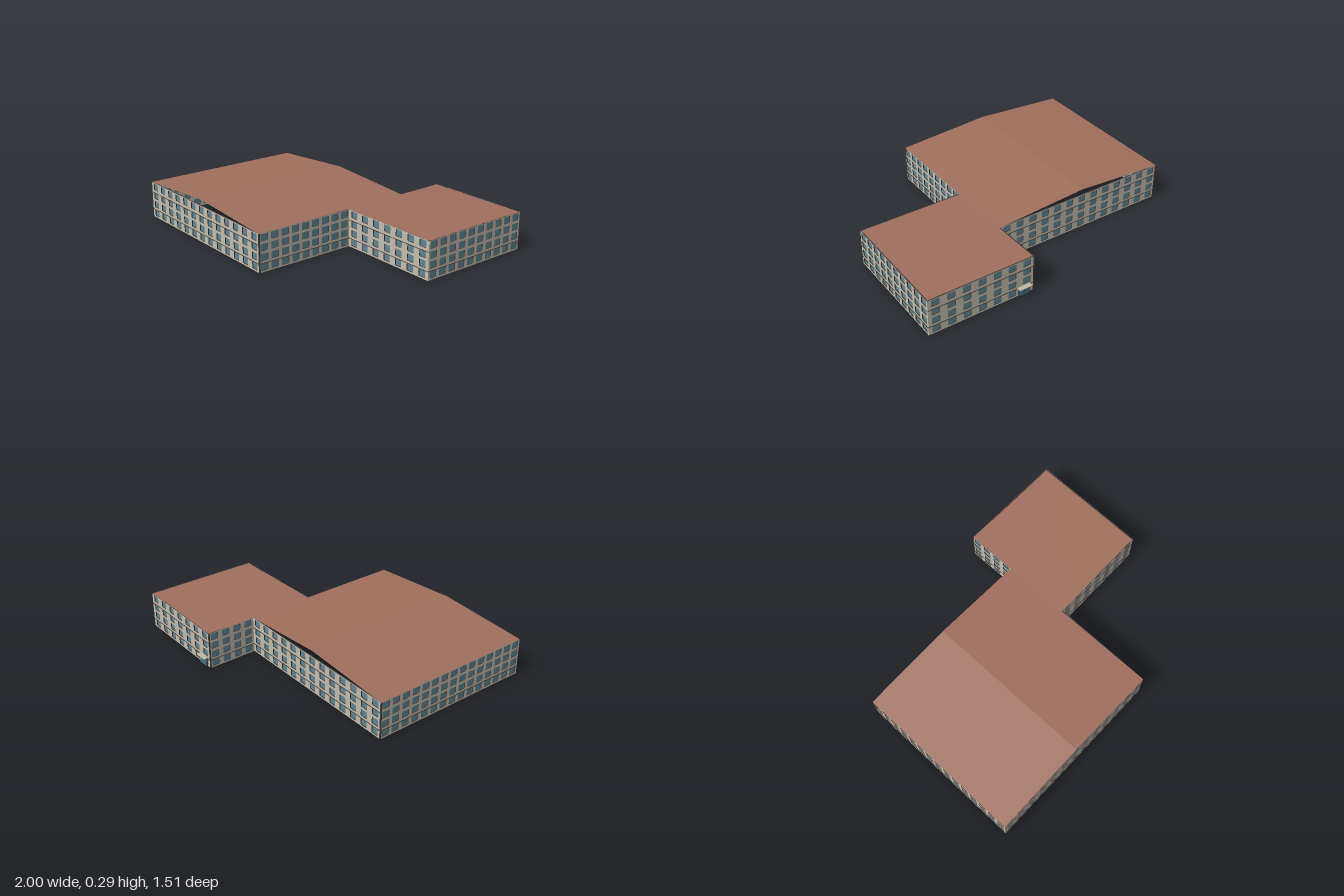
import * as THREE from 'three';

const mat = (name, color, side = THREE.FrontSide) => {
  const m = new THREE.MeshStandardMaterial({ color, side });
  m.name = name;
  return m;
};

const HEIGHT = 0.248, RIDGE = 0.29, DEPTH = 0.008;

// Footprint corners [x, z], anticlockwise seen from above
const corners = [
  [-0.998, 0.735], [0.275, 0.752], [0.282, 0.064], [0.985, 0.068],
  [0.993, -0.72], [0.27, -0.732], [0.272, -0.39], [-0.985, -0.408],
];
const columns = [13, 9, 7, 10, 7, 4, 13, 15];

// Rounded window outline, used both for the hole and the pane
function windowOutline(target, cx, cy, w, h, r = 0.007) {
  const x = cx - w / 2, y = cy - h / 2;
  target.moveTo(x + r, y);
  target.lineTo(x + w - r, y);
  target.quadraticCurveTo(x + w, y, x + w, y + r);
  target.lineTo(x + w, y + h - r);
  target.quadraticCurveTo(x + w, y + h, x + w - r, y + h);
  target.lineTo(x + r, y + h);
  target.quadraticCurveTo(x, y + h, x, y + h - r);
  target.lineTo(x, y + r);
  target.quadraticCurveTo(x, y, x + r, y);
  return target;
}

export function createModel() {
  const wallMat = mat('wall stone', 0xc3bbae);
  const glassMat = mat('window glass', 0x5f8491, THREE.DoubleSide);
  const trimMat = mat('dark trim', 0x423b36);
  const roofMat = mat('roof tile', 0xa06f5e, THREE.DoubleSide);
  const canopyMat = mat('canopy', 0xbdbbac);
  const doorMat = mat('door', 0x457389);

  const building = new THREE.Group();
  building.name = 'building';
  const add = (parent, name, geometry, material, x = 0, y = 0, z = 0) => {
    const mesh = new THREE.Mesh(geometry, material);
    mesh.name = name;
    mesh.position.set(x, y, z);
    parent.add(mesh);
    return mesh;
  };

  // Facades: thin panels pierced by four floors of windows
  corners.forEach(([x, z], i) => {
    const [x2, z2] = corners[(i + 1) % corners.length];
    const length = Math.hypot(x2 - x, z2 - z);
    const facade = new THREE.Group();
    facade.name = 'facade' + (i + 1);
    facade.position.set(x, 0, z);
    facade.rotation.y = Math.atan2(z - z2, x2 - x);
    building.add(facade);

    const panel = new THREE.Shape();
    panel.moveTo(0, 0);
    panel.lineTo(length, 0);
    panel.lineTo(length, HEIGHT);
    panel.lineTo(0, HEIGHT);
    panel.closePath();
    const panes = [];
    const pitch = length / columns[i];
    for (let row = 0; row < 4; row++) {
      for (let c = 0; c < columns[i]; c++) {
        const args = [(c + 0.5) * pitch, 0.033 + row * 0.0622, 0.054, 0.046];
        panel.holes.push(windowOutline(new THREE.Path(), ...args));
        panes.push(windowOutline(new THREE.Shape(), ...args));
      }
    }
    const geo = new THREE.ExtrudeGeometry(panel, { depth: DEPTH, bevelEnabled: false, curveSegments: 3 });
    add(facade, 'wall', geo, [wallMat, trimMat], 0, 0, -DEPTH);
    add(facade, 'windows', new THREE.ShapeGeometry(panes, 3), glassMat, 0, 0, -DEPTH + 0.001);

    // Thin floor ledges
    const levels = i % 2 === 0 ? [0.058, 0.178] : [0.058];
    levels.forEach((y) => {
      add(facade, 'ledge', new THREE.BoxGeometry(length, 0.003, 0.004), trimMat, length / 2, y, 0.001);
    });
  });

  // Roof: shallow gable over the main block, flat over the wing
  const [A, B, C, D, E, F, G, H] = corners.map(([x, z]) => [x, HEIGHT, z]);
  const ridge = (p, q) => [(p[0] + q[0]) / 2, RIDGE, (p[2] + q[2]) / 2];
  const R1 = ridge(A, B), R2 = ridge(H, G);
  const faces = [[A, R1, R2, H], [R1, B, G, R2], [B, C, G], [C, D, E, F, G]];
  const positions = [];
  faces.forEach((f) => {
    for (let k = 1; k < f.length - 1; k++) positions.push(...f[0], ...f[k], ...f[k + 1]);
  });
  const roof = new THREE.BufferGeometry();
  roof.setAttribute('position', new THREE.Float32BufferAttribute(positions, 3));
  roof.computeVertexNormals();
  add(building, 'roof', roof, roofMat);

  // Rear entrance under a small canopy
  const entrance = new THREE.Group();
  entrance.name = 'entrance';
  entrance.position.set(0.345, 0, -0.731);
  building.add(entrance);
  add(entrance, 'canopy', new THREE.BoxGeometry(0.09, 0.005, 0.03), canopyMat, 0, 0.06, -0.014);
  add(entrance, 'doorFrame', new THREE.BoxGeometry(0.076, 0.055, 0.008), trimMat, 0, 0.0275, -0.003);
  [-1, 1].forEach((s) => {
    add(entrance, 'doorLeaf', new THREE.BoxGeometry(0.032, 0.049, 0.004), doorMat, s * 0.0175, 0.0255, -0.007);
  });

  return building;
}
